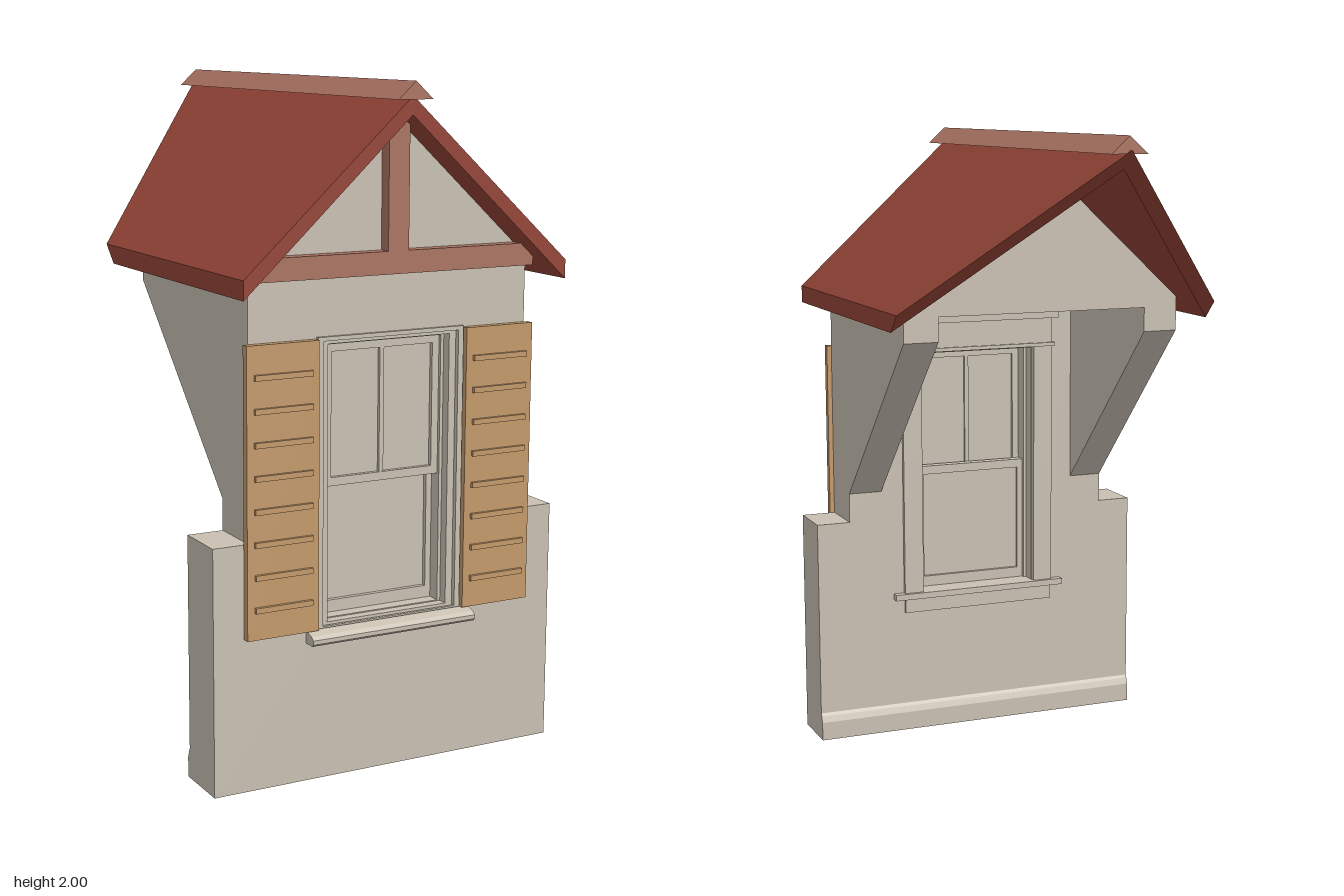
import * as THREE from 'three';

export function createModel() {
  const root = new THREE.Group();
  root.name = 'dormer';
  const mat = (name, color) => {
    const m = new THREE.MeshStandardMaterial({ color });
    m.name = name;
    return m;
  };
  const plaster = mat('plaster', 0xc9c0b2);
  const tile = mat('roofRed', 0x944437);
  const timber = mat('timber', 0xab7463);
  const wood = mat('shutterWood', 0xc49a6c);

  const add = (name, geo, material, parent = root) => {
    const m = new THREE.Mesh(geo, material);
    m.name = name;
    parent.add(m);
    return m;
  };
  // box given by its lower and upper bounds
  const box = (name, material, x0, x1, y0, y1, z0, z1, parent) => {
    const g = new THREE.BoxGeometry(x1 - x0, y1 - y0, z1 - z0);
    g.translate((x0 + x1) / 2, (y0 + y1) / 2, (z0 + z1) / 2);
    return add(name, g, material, parent);
  };
  const shapeOf = (pts) => new THREE.Shape(pts.map(([a, b]) => new THREE.Vector2(a, b)));
  // outline in (x, y), extruded from z0 to z1
  const extrudeZ = (shape, z0, z1) =>
    new THREE.ExtrudeGeometry(shape, { depth: z1 - z0, bevelEnabled: false }).translate(0, 0, z0);
  // outline in (z, y), extruded from x0 to x1
  const extrudeX = (pts, x0, x1) =>
    new THREE.ExtrudeGeometry(shapeOf(pts), { depth: x1 - x0, bevelEnabled: false })
      .rotateY(-Math.PI / 2).translate(x1, 0, 0);
  // rectangular frame with side, top and bottom widths
  const frame = (name, hx, y0, y1, side, top, bottom, z0, z1, parent) => {
    const s = shapeOf([[-hx, y0], [hx, y0], [hx, y1], [-hx, y1]]);
    const i = hx - side;
    s.holes.push(shapeOf([[-i, y0 + bottom], [-i, y1 - top], [i, y1 - top], [i, y0 + bottom]]));
    return add(name, extrudeZ(s, z0, z1), plaster, parent);
  };

  const soffit = (x) => 1.908 - 0.928 * Math.abs(x); // underside of the roof

  // Front wall with gable and window opening
  const wall = shapeOf([[-0.56, 0], [0.56, 0], [0.56, 0.73], [0.45, 0.73], [0.45, soffit(0.45)],
    [0, soffit(0)], [-0.45, soffit(0.45)], [-0.45, 0.73], [-0.56, 0.73]]);
  wall.holes.push(shapeOf([[-0.22, 0.455], [-0.22, 1.295], [0.22, 1.295], [0.22, 0.455]]));
  add('frontWall', extrudeZ(wall, 0.44, 0.61), plaster);
  add('baseboard', extrudeX([[0.44, 0], [0.44, 0.09], [0.435, 0.08], [0.428, 0.06], [0.428, 0]],
    -0.56, 0.56), plaster);

  // Side cheeks, cut along the main roof pitch, tops following the soffit
  for (const s of [-1, 1]) {
    const g = extrudeX([[0.45, 0.82], [0.45, 1.49], [-0.12, 1.49], [-0.12, 1.385], [0.44, 0.825]],
      s > 0 ? 0.34 : -0.45, s > 0 ? 0.45 : -0.34);
    const p = g.attributes.position;
    for (let i = 0; i < p.count; i++) if (p.getY(i) > 1.48) p.setY(i, soffit(p.getX(i)));
    g.computeVertexNormals();
    add(s > 0 ? 'leftCheek' : 'rightCheek', g, plaster);
  }
  add('backGable', extrudeZ(shapeOf([[-0.45, 1.46], [0.45, 1.46], [0.45, soffit(0.45)],
    [0, soffit(0)], [-0.45, soffit(0.45)]]), -0.12, -0.1), plaster);

  // Roof chevron, its rear end cut at 45 degrees
  const roofGeo = extrudeZ(shapeOf([[0, 1.908], [0.515, 1.43], [0.515, 1.485], [0, 1.96],
    [-0.515, 1.485], [-0.515, 1.43]]), 0, 1);
  const rp = roofGeo.attributes.position;
  for (let i = 0; i < rp.count; i++) rp.setZ(i, rp.getZ(i) > 0.5 ? 0.72 : 1.235 - rp.getY(i));
  roofGeo.computeVertexNormals();
  add('roof', roofGeo, tile);
  add('ridgeCap', extrudeZ(shapeOf([[-0.055, 1.95], [0.055, 1.95], [0, 2]]), -0.71, 0.735), timber);

  // Gable timbers
  add('tieBeam', extrudeZ(shapeOf([[-0.45, 1.465], [0.45, 1.465], [0.45, soffit(0.45)],
    [0.408, 1.53], [-0.408, 1.53], [-0.45, soffit(0.45)]]), 0.61, 0.65), timber);
  add('kingPost', extrudeZ(shapeOf([[-0.033, 1.53], [0.033, 1.53], [0.033, soffit(0.033)],
    [0, soffit(0)], [-0.033, soffit(0.033)]]), 0.61, 0.65), timber);

  // Shutters with slats
  for (const s of [-1, 1]) {
    const shutter = new THREE.Group();
    shutter.name = s > 0 ? 'leftShutter' : 'rightShutter';
    root.add(shutter);
    const c = s * 0.3525;
    box('shutterPanel', wood, c - 0.1125, c + 0.1125, 0.455, 1.293, 0.61, 0.633, shutter);
    for (let i = 0; i < 8; i++) {
      const y = 0.543 + i * 0.0943;
      box('shutterSlat', wood, c - 0.09, c + 0.09, y - 0.008, y + 0.008, 0.633, 0.643, shutter);
    }
  }

  // Window: jamb, stops and two sashes
  const win = new THREE.Group();
  win.name = 'window';
  root.add(win);
  frame('outerTrim', 0.237, 0.455, 1.298, 0.017, 0.012, 0.005, 0.61, 0.62, win);
  frame('jamb', 0.22, 0.455, 1.295, 0.022, 0.02, 0.012, 0.445, 0.605, win);
  frame('stop', 0.2, 0.46, 1.28, 0.012, 0.012, 0.01, 0.49, 0.575, win);
  frame('upperSash', 0.19, 0.855, 1.27, 0.024, 0.025, 0.025, 0.535, 0.565, win);
  box('upperPane', plaster, -0.17, 0.17, 0.875, 1.25, 0.546, 0.552, win);
  box('muntin', plaster, -0.007, 0.007, 0.88, 1.245, 0.538, 0.562, win);
  frame('lowerSash', 0.19, 0.468, 0.885, 0.02, 0.028, 0.038, 0.502, 0.534, win);
  box('lowerPane', plaster, -0.175, 0.175, 0.5, 0.865, 0.514, 0.52, win);
  add('outerSill', extrudeX([[0.5, 0.42], [0.605, 0.418], [0.65, 0.418], [0.656, 0.424],
    [0.656, 0.434], [0.645, 0.443], [0.605, 0.455], [0.5, 0.472]], -0.218, 0.218), plaster, win);
  add('sillNose', extrudeX([[0.605, 0.416], [0.65, 0.416], [0.657, 0.423],
    [0.657, 0.435], [0.645, 0.444], [0.605, 0.456]], -0.27, 0.27), plaster, win);

  // Interior casing
  for (const s of [-1, 1]) {
    box('sideCasing', plaster, s * 0.2325 - 0.0325, s * 0.2325 + 0.0325, 0.47, 1.29, 0.427, 0.445, win);
  }
  box('headCasing', plaster, -0.265, 0.265, 1.285, 1.375, 0.427, 0.445, win);
  box('headCap', plaster, -0.285, 0.285, 1.375, 1.395, 0.415, 0.445, win);
  box('headBead', plaster, -0.275, 0.275, 1.28, 1.292, 0.42, 0.445, win);
  add('stool', extrudeX([[0.5, 0.453], [0.5, 0.472], [0.422, 0.472], [0.416, 0.467],
    [0.416, 0.458], [0.422, 0.453]], -0.2, 0.2), plaster, win);
  box('stoolNose', plaster, -0.3, 0.3, 0.453, 0.473, 0.415, 0.442, win);
  box('apron', plaster, -0.262, 0.262, 0.405, 0.453, 0.43, 0.442, win);

  return root;
}
